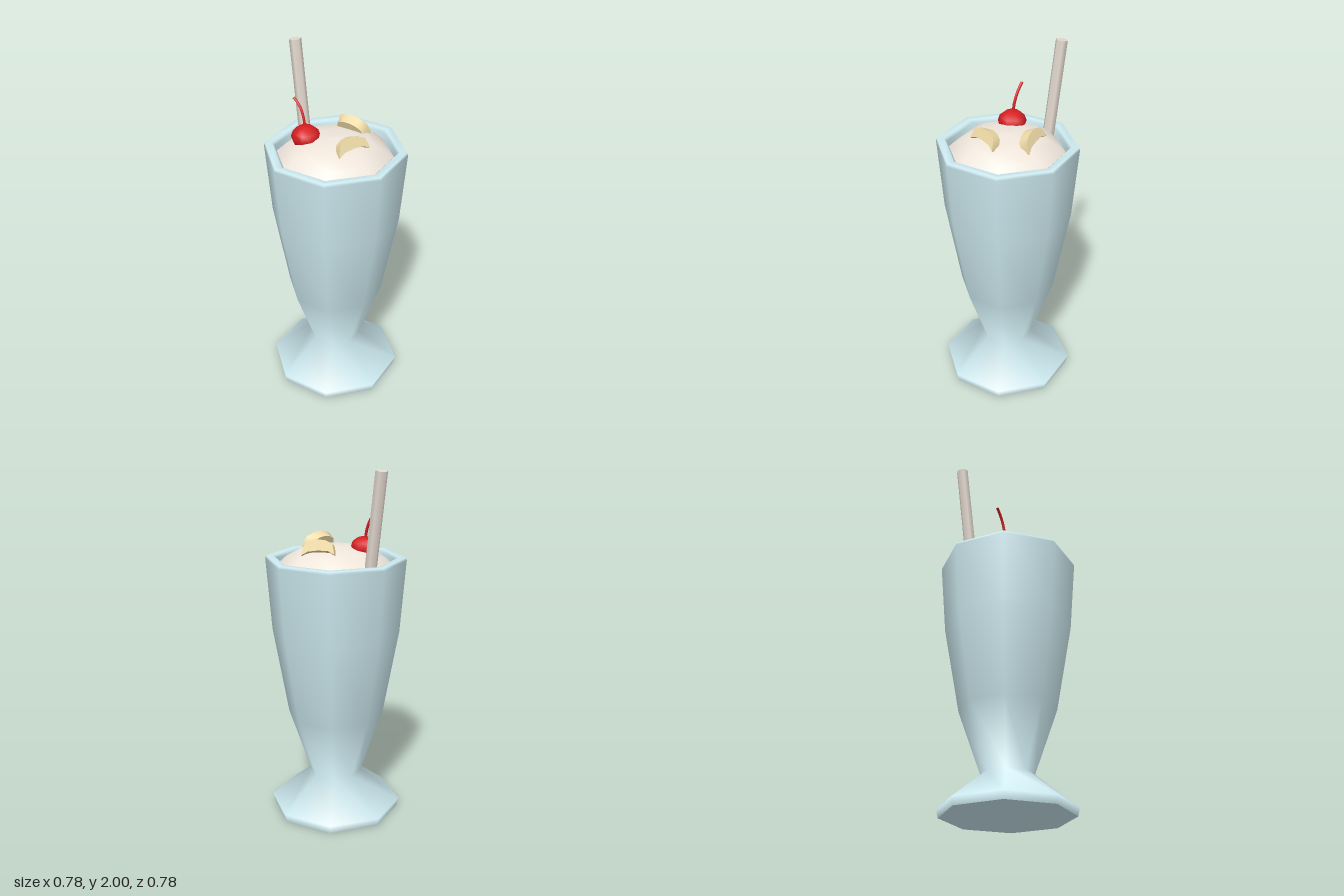
import * as THREE from 'three';
import { toCreasedNormals } from 'three/addons/utils/BufferGeometryUtils.js';

const material = (color, side = THREE.FrontSide) => new THREE.MeshStandardMaterial({ color, side });

function part(name, geometry, mat) {
  const mesh = new THREE.Mesh(geometry, mat);
  mesh.name = name;
  return mesh;
}

// Octagonal turned form, corners on the x and z axes
const lathe = (profile) =>
  new THREE.LatheGeometry(profile.map(([r, y]) => new THREE.Vector2(r, y)), 8);

// Arched fruit slice, narrower towards its back
function sliceGeometry() {
  const outline = [
    [-0.1, -0.085], [-0.06, -0.065], [0, -0.06], [0.06, -0.065], [0.1, -0.085],
    [0.082, -0.025], [0.04, -0.005], [0, 0], [-0.04, -0.005], [-0.082, -0.025],
  ].map(([x, y]) => new THREE.Vector2(x, y));
  const geometry = new THREE.ExtrudeGeometry(new THREE.Shape(outline), { depth: 0.055, bevelEnabled: false });
  geometry.translate(0, 0, -0.0275);
  const pos = geometry.attributes.position;
  for (let i = 0; i < pos.count; i++) {
    if (pos.getZ(i) < 0) pos.setX(i, pos.getX(i) * 0.85);
  }
  return toCreasedNormals(geometry, 0.9);
}

export function createModel() {
  const model = new THREE.Group();
  model.name = 'milkshake';

  // Footed glass with a thick rim; doubled points keep the edge sharp
  const glass = lathe([
    [0, 0], [0.365, 0], [0.365, 0], [0.375, 0.045], [0.145, 0.225], [0.27, 0.585],
    [0.358, 1.08], [0.39, 1.485], [0.385, 1.5], [0.345, 1.5], [0.33, 1.485], [0.322, 1.4],
  ]);
  model.add(part('glass', glass, material(0xcdeaf0, THREE.DoubleSide)));

  // Domed drink surface
  const cream = lathe([[0.326, 1.45], [0.27, 1.502], [0.2, 1.54], [0.1, 1.56], [0, 1.566]]);
  model.add(part('cream', cream, material(0xf0e6dc)));

  // Straw leaning against the back of the rim
  const straw = part('straw', new THREE.CylinderGeometry(0.033, 0.033, 0.6, 6), material(0xe3d9cf));
  straw.position.set(0, 1.7, -0.316);
  straw.rotation.x = -0.14;
  model.add(straw);

  // Cherry with a bent stem
  const cherry = new THREE.Group();
  cherry.name = 'cherry';
  const red = material(0xd61f22);
  const fruit = part('cherryFruit', new THREE.SphereGeometry(0.08, 9, 6), red);
  fruit.scale.y = 0.8;
  fruit.position.set(-0.11, 1.553, -0.115);
  const stemPath = new THREE.CatmullRomCurve3([
    new THREE.Vector3(-0.11, 1.59, -0.118),
    new THREE.Vector3(-0.111, 1.66, -0.132),
    new THREE.Vector3(-0.116, 1.72, -0.16),
    new THREE.Vector3(-0.127, 1.755, -0.195),
  ]);
  cherry.add(fruit, part('cherryStem', new THREE.TubeGeometry(stemPath, 6, 0.008, 6), red));
  model.add(cherry);

  // Fruit slices, each leaning back on the cream
  const slice = sliceGeometry();
  const yellow = material(0xf0dca8);
  const placements = [
    { name: 'frontSlice', at: [0, 1.612, 0.115], turn: 0, roll: 0 },
    { name: 'leftSlice', at: [0.132, 1.61, -0.035], turn: 1.95, roll: 0.12 },
  ];
  for (const { name, at, turn, roll } of placements) {
    const mesh = part(name, slice, yellow);
    mesh.position.set(...at);
    mesh.rotation.set(-0.4, turn, roll, 'YXZ');
    model.add(mesh);
  }

  return model;
}
